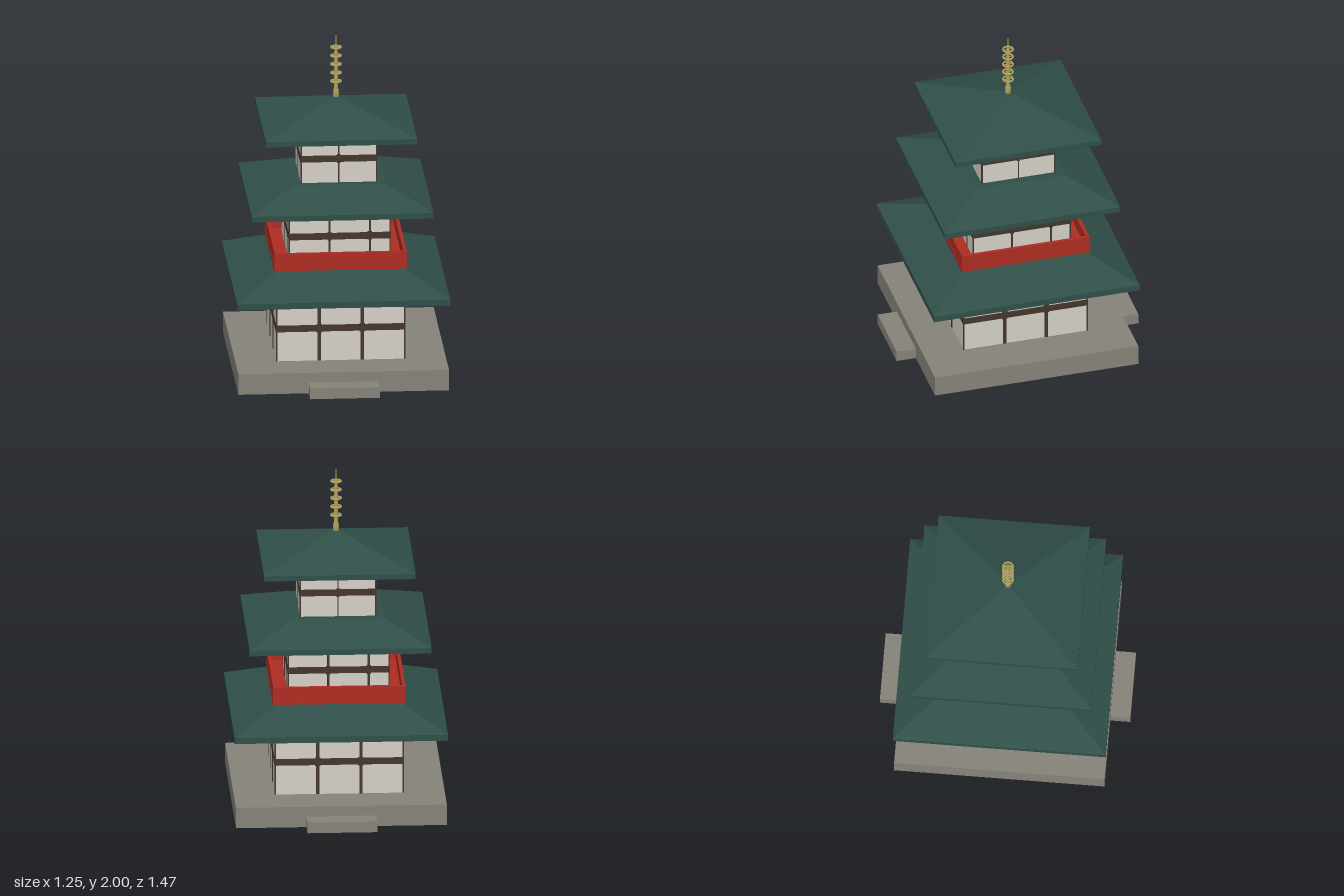
import * as THREE from 'three';

const material = (name, color) => {
  const m = new THREE.MeshStandardMaterial({ color });
  m.name = name;
  return m;
};

export function createModel() {
  const stone = material('stone', 0x87847a);
  const plaster = material('plaster', 0xd6d2c8);
  const timber = material('timber', 0x46362d);
  const tile = material('roof tile', 0x304f49);
  tile.flatShading = true;
  const red = material('red lacquer', 0xaf2d22);
  const gold = material('gilt metal', 0xb5a660);

  const model = new THREE.Group();
  model.name = 'pagoda';

  const add = (parent, name, geometry, mat, x = 0, y = 0, z = 0) => {
    const mesh = new THREE.Mesh(geometry, mat);
    mesh.name = name;
    mesh.position.set(x, y, z);
    parent.add(mesh);
    return mesh;
  };
  // Box given by its width, depth and bottom and top heights
  const block = (parent, name, mat, w, d, y0, y1, x = 0, z = 0) =>
    add(parent, name, new THREE.BoxGeometry(w, y1 - y0, d), mat, x, (y0 + y1) / 2, z);
  // Repeats a part on the four sides
  const fourSides = (parent, name, build) => {
    for (let i = 0; i < 4; i++) {
      const side = new THREE.Group();
      side.name = name;
      side.rotation.y = i * Math.PI / 2;
      build(side);
      parent.add(side);
    }
  };

  // Stone platform with a step at front and back
  block(model, 'platform', stone, 1.236, 1.236, 0, 0.125);
  for (const s of [1, -1]) block(model, 'step', stone, 0.41, 0.135, 0, 0.065, 0, s * 0.6675);

  // Storeys: plaster walls with a timber frame on each side
  const storeys = [
    { half: 0.377, y0: 0.125, y1: 0.53, beam: 0.323, posts: [-0.127, 0.127], post: 0.02 },
    { half: 0.297, y0: 0.69, y1: 1.035, beam: 0.86, posts: [-0.06, 0.177], post: 0.013 },
    { half: 0.223, y0: 1.16, y1: 1.47, beam: 1.312, posts: [0], post: 0.007 },
  ];
  for (const { half, y0, y1, beam, posts, post } of storeys) {
    const storey = new THREE.Group();
    storey.name = 'storey';
    model.add(storey);
    block(storey, 'walls', plaster, half * 2, half * 2, y0, y1);
    fourSides(storey, 'wallFrame', (side) => {
      const z = half + 0.001;
      block(side, 'beam', timber, half * 2 + 0.006, 0.004, beam - 0.02, beam + 0.02, 0, z);
      for (const x of posts) {
        block(side, 'post', timber, post, 0.004, y0, y1, x, z);
        block(side, 'postJoint', timber, post + 0.012, 0.005, beam - 0.026, beam + 0.026, x, z);
      }
      block(side, 'cornerPost', timber, 0.008, 0.008, y0, y1, half - 0.002, half - 0.002);
    });
  }

  // Hipped roofs: square eave slab with a four-sided slope on top
  const roofs = [
    { eave: 0.625, ridge: 0.35, y0: 0.52, y1: 0.557, y2: 0.682 },
    { eave: 0.533, ridge: 0.272, y0: 1.028, y1: 1.062, y2: 1.166 },
    { eave: 0.444, ridge: 0, y0: 1.458, y1: 1.49, y2: 1.63 },
  ];
  for (const { eave, ridge, y0, y1, y2 } of roofs) {
    const roof = new THREE.Group();
    roof.name = 'roof';
    model.add(roof);
    block(roof, 'eave', tile, eave * 2, eave * 2, y0, y1);
    const slope = new THREE.CylinderGeometry(
      ridge * Math.SQRT2, eave * Math.SQRT2, y2 - y1, 4, 1, false, Math.PI / 4);
    add(roof, 'slope', slope, tile, 0, (y1 + y2) / 2, 0);
  }

  // Red balcony around the second storey
  const balcony = new THREE.Group();
  balcony.name = 'balcony';
  model.add(balcony);
  block(balcony, 'balconyFloor', red, 0.78, 0.78, 0.68, 0.71);
  fourSides(balcony, 'balconySide', (side) => {
    block(side, 'parapet', red, 0.756, 0.02, 0.71, 0.785, -0.01, 0.378);
  });

  // Gilt spire with five rings
  const spire = new THREE.Group();
  spire.name = 'spire';
  model.add(spire);
  const profile = [[0, 1.615], [0.02, 1.615], [0.017, 1.665], [0.012, 1.675],
    [0.01, 1.935], [0.004, 1.945], [0.003, 2], [0, 2]];
  add(spire, 'shaft', new THREE.LatheGeometry(profile.map(([r, y]) => new THREE.Vector2(r, y)), 12), gold);
  for (let i = 0; i < 5; i++) {
    const ring = add(spire, 'ring', new THREE.TorusGeometry(0.03, 0.006, 6, 16), gold, 0, 1.717 + i * 0.052, 0);
    ring.rotation.x = Math.PI / 2;
    for (const turn of [0, Math.PI / 2]) {
      const spoke = block(spire, 'ringSpoke', gold, 0.06, 0.005, 1.715 + i * 0.052, 1.719 + i * 0.052);
      spoke.rotation.y = turn;
    }
  }
  return model;
}
